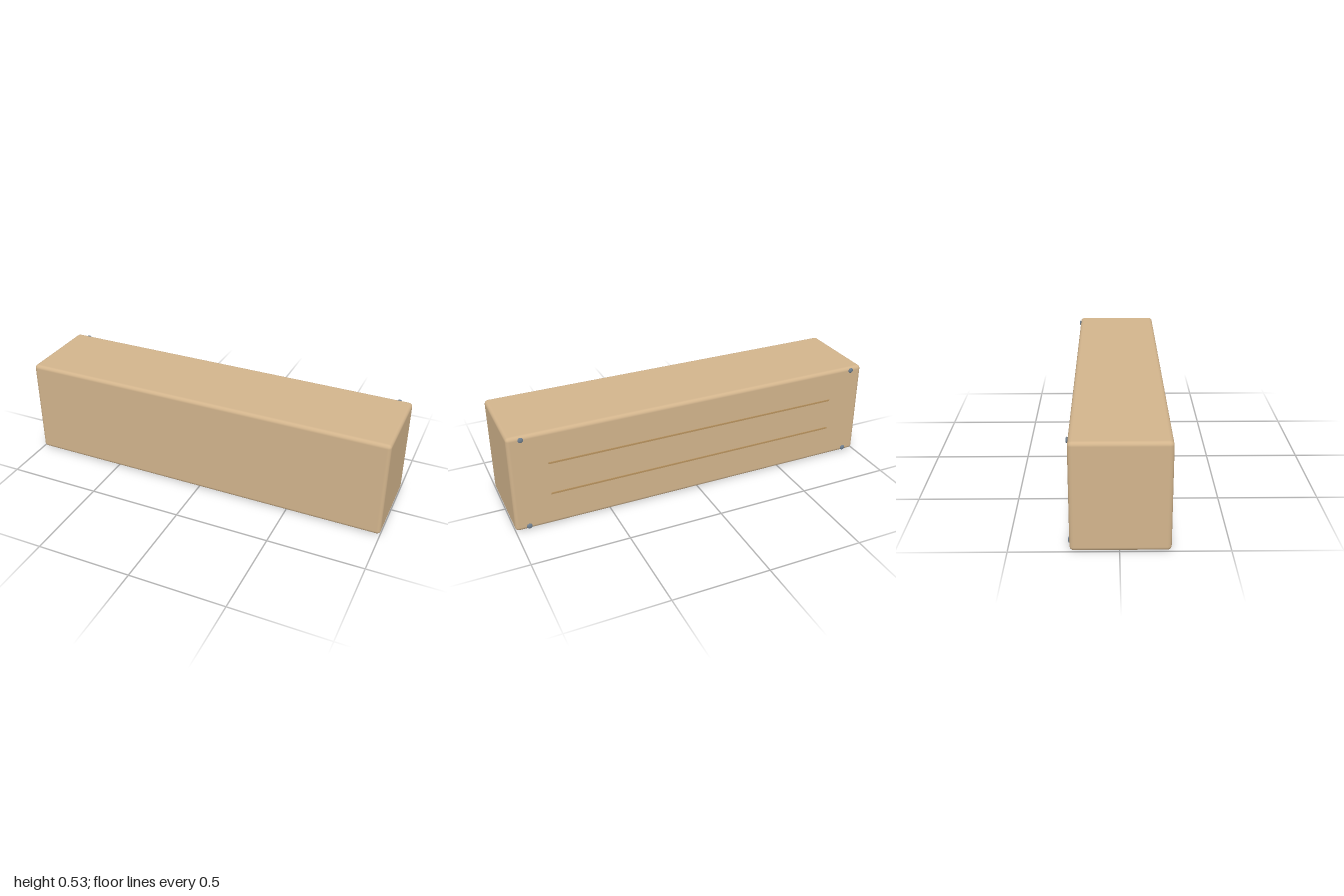
import * as THREE from 'three';
import { RoundedBoxGeometry } from 'three/addons/geometries/RoundedBoxGeometry.js';

export function createModel() {
  const group = new THREE.Group();
  const wood = new THREE.MeshStandardMaterial({ color: 0xd2b48c });
  const trim = new THREE.MeshStandardMaterial({ color: 0xb8935f });
  const metal = new THREE.MeshStandardMaterial({ color: 0x708090 });

  const add = (name, geometry, material, x, y, z) => {
    const mesh = new THREE.Mesh(geometry, material);
    mesh.name = name;
    mesh.position.set(x, y, z);
    group.add(mesh);
    return mesh;
  };

  // Long body with softly rounded edges
  const height = 0.53, back = -0.224, front = 0.233;
  add('body', new RoundedBoxGeometry(2, height, front - back, 2, 0.02), wood,
    0, height / 2, (front + back) / 2);

  // Two thin raised strips along the back
  const stripGeometry = new THREE.BoxGeometry(1.61, 0.009, 0.008);
  for (const y of [0.18, 0.355]) add('backStrip', stripGeometry, trim, 0, y, back);

  // Flattened round studs at the back corners
  const studGeometry = new THREE.SphereGeometry(0.014, 16, 12);
  for (const x of [-0.93, 0.93]) {
    for (const y of [0.021, 0.513]) {
      add('cornerStud', studGeometry, metal, x, y, -0.227).scale.z = 0.4;
    }
  }
  return group;
}
